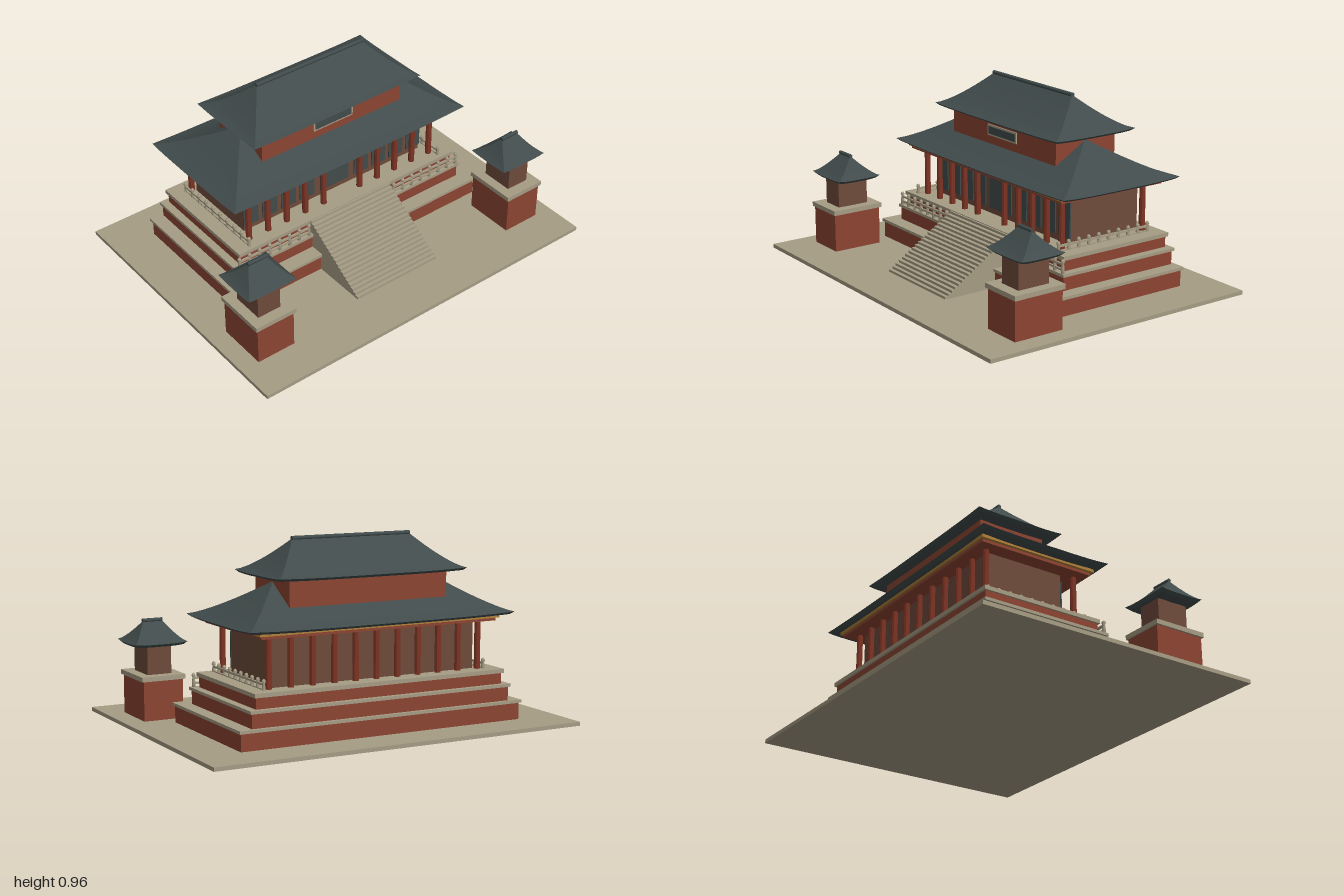
import * as THREE from 'three';
import { mergeGeometries } from 'three/addons/utils/BufferGeometryUtils.js';

const mat = (name, color, extra = {}) => {
  const m = new THREE.MeshStandardMaterial({ color, ...extra });
  m.name = name;
  return m;
};

export function createModel() {
  const stone = mat('stone', 0xa69c84);
  const wallRed = mat('wallRed', 0x8c4432);
  const columnRed = mat('columnRed', 0x7e3424, { flatShading: true });
  const timber = mat('timber', 0x6e4b3b);
  const tile = mat('tile', 0x414b4b);
  const gold = mat('gold', 0xb08038);

  const root = new THREE.Group();
  root.name = 'templeHall';
  const CZ = -0.213; // centre line of the hall

  const add = (parent, name, geo, material) => {
    const m = new THREE.Mesh(geo, material);
    m.name = name;
    parent.add(m);
    return m;
  };
  // box given by its extents on each axis
  const box = (x0, x1, y0, y1, z0, z1) =>
    new THREE.BoxGeometry(x1 - x0, y1 - y0, z1 - z0)
      .translate((x0 + x1) / 2, (y0 + y1) / 2, (z0 + z1) / 2);

  // four-sided skin through rectangular rings, each side with its own normals
  const skin = (rings, nu = 12) => {
    const sides = [];
    for (let s = 0; s < 4; s++) {
      const pos = [], idx = [];
      rings.forEach(({ hx, hz, y, lift = 0 }) => {
        for (let i = 0; i <= nu; i++) {
          const u = -1 + (2 * i) / nu;
          const p = [[u * hx, hz], [hx, -u * hz], [-u * hx, -hz], [-hx, u * hz]][s];
          pos.push(p[0], y + lift * u ** 4, p[1]);
        }
      });
      for (let v = 0; v < rings.length - 1; v++) {
        for (let i = 0; i < nu; i++) {
          const a = v * (nu + 1) + i, b = a + 1, d = a + nu + 1, c = d + 1;
          idx.push(a, b, c, a, c, d);
        }
      }
      const g = new THREE.BufferGeometry();
      g.setAttribute('position', new THREE.Float32BufferAttribute(pos, 3));
      g.setIndex(idx);
      g.computeVertexNormals();
      sides.push(g);
    }
    return mergeGeometries(sides);
  };

  // concave hipped roof with slightly raised corners and a round ridge
  const hipRoof = (name, { hx, hz, rx, y, rise, pow, lift, thick, inset, ridge }) => {
    const g = new THREE.Group();
    g.name = name;
    const top = [];
    const n = 10;
    for (let i = 0; i <= n; i++) {
      const t = i / n;
      top.push({
        hx: THREE.MathUtils.lerp(hx, rx, t), hz: hz * (1 - t),
        y: y + rise * t ** pow, lift: lift * (1 - t) ** 3,
      });
    }
    const under = { hx: hx - inset, hz: hz - inset, y: y - thick, lift: lift * 0.8 };
    add(g, 'roofSlopes', skin(top), tile);
    add(g, 'eaveEdge', skin([under, top[0]]), tile);
    add(g, 'soffit', skin([{ hx: rx, hz: 0, y: y - thick }, under]), tile);
    const bar = new THREE.CylinderGeometry(ridge, ridge, rx * 2 + 0.01, 10);
    add(g, 'ridge', bar.rotateZ(Math.PI / 2).translate(0, y + rise, 0), tile);
    return g;
  };

  // ground slab
  add(root, 'ground', box(-1, 1, 0, 0.02, -0.76, 0.76), stone);

  // three terraces, each with a stone coping
  [
    [0.77, 0.02, 0.105, 0.12, -0.556, 0.2],
    [0.71, 0.12, 0.19, 0.205, -0.547, 0.13],
    [0.68, 0.205, 0.26, 0.28, -0.53, 0.105],
  ].forEach(([hx, y0, y1, y2, z0, z1], i) => {
    add(root, `terraceWall${i + 1}`, box(-hx, hx, y0, y1, z0, z1), wallRed);
    const o = 0.01;
    add(root, `terraceCoping${i + 1}`, box(-hx - o, hx + o, y1, y2, z0 - o, z1 + o), stone);
  });

  // front staircase as an extruded step profile
  const steps = 20, zBottom = 0.497, run = 0.0196, riser = 0.0128;
  const profile = new THREE.Shape();
  profile.moveTo(-zBottom, 0.02);
  for (let i = 0; i < steps; i++) {
    profile.lineTo(-zBottom + i * run, 0.02 + (i + 1) * riser);
    profile.lineTo(-zBottom + (i + 1) * run, 0.02 + (i + 1) * riser);
  }
  profile.lineTo(-zBottom + steps * run, 0.02);
  const stairGeo = new THREE.ExtrudeGeometry(profile, { depth: 0.51, bevelEnabled: false });
  add(root, 'staircase', stairGeo.translate(0, 0, -0.255).rotateY(Math.PI / 2), stone);

  // balustrade between two points: turned posts under a handrail
  const post = new THREE.LatheGeometry(
    [[0, 0], [0.009, 0], [0.009, 0.03], [0.006, 0.05], [0.011, 0.058], [0.008, 0.068], [0, 0.073]]
      .map(([r, y]) => new THREE.Vector2(r, y)), 8);
  const balustrade = (name, a, b, count) => {
    const g = new THREE.Group();
    g.name = name;
    for (let i = 0; i < count; i++) {
      add(g, 'post', post, stone).position.lerpVectors(a, b, i / (count - 1));
    }
    const mid = a.clone().add(b).multiplyScalar(0.5);
    const len = a.distanceTo(b);
    const alongX = Math.abs(a.x - b.x) > 0.01;
    for (const h of [0.02, 0.046]) {
      const rail = new THREE.BoxGeometry(alongX ? len : 0.01, 0.01, alongX ? 0.01 : len);
      add(g, 'rail', rail, stone).position.set(mid.x, mid.y + h, mid.z);
    }
    root.add(g);
  };
  const V = (x, y, z) => new THREE.Vector3(x, y, z);
  for (const s of [-1, 1]) {
    balustrade('frontBalustrade', V(s * 0.7, 0.203, 0.128), V(s * 0.275, 0.203, 0.128), 8);
    balustrade('sideBalustrade', V(s * 0.61, 0.26, 0.085), V(s * 0.61, 0.26, -0.47), 10);
  }

  // hall body with dark lattice panels on the front
  add(root, 'hallBody', box(-0.565, 0.565, 0.28, 0.53, -0.44, -0.022), timber);
  const pitch = 0.116;
  for (const s of [-1, 1]) {
    for (let i = 1; i < 5; i++) {
      const x = s * (i + 0.5) * pitch;
      add(root, 'frontPanel', box(x - 0.045, x + 0.045, 0.31, 0.492, -0.024, -0.016), tile);
    }
  }
  add(root, 'centrePanel', box(-0.09, 0.09, 0.31, 0.492, -0.024, -0.016), tile);

  // colonnade, with the middle bay left open at the front
  const column = new THREE.CylinderGeometry(0.015, 0.016, 0.25, 8);
  for (let i = -5; i <= 5; i++) {
    if (i) add(root, 'frontColumn', column, columnRed).position.set(i * pitch, 0.405, 0.043);
    add(root, 'backColumn', column, columnRed).position.set(i * pitch, 0.405, -0.461);
  }

  // beams below the eaves
  const beam = (name, hx, y0, y1, hz, m) =>
    add(root, name, box(-hx, hx, y0, y1, CZ - hz, CZ + hz), m);
  beam('eaveBeam', 0.645, 0.525, 0.54, 0.31, wallRed);
  beam('giltBeam', 0.66, 0.54, 0.556, 0.322, gold);

  // lower roof, upper storey and upper roof
  const lower = hipRoof('lowerRoof', {
    hx: 0.725, hz: 0.36, rx: 0.43, y: 0.562, rise: 0.19, pow: 1.2,
    lift: 0.008, thick: 0.012, inset: 0.018, ridge: 0.01,
  });
  lower.position.z = CZ;
  root.add(lower);
  beam('upperStorey', 0.435, 0.62, 0.775, 0.183, wallRed);
  const upper = hipRoof('upperRoof', {
    hx: 0.517, hz: 0.244, rx: 0.325, y: 0.783, rise: 0.169, pow: 1.3,
    lift: 0.006, thick: 0.012, inset: 0.015, ridge: 0.011,
  });
  upper.position.z = CZ;
  root.add(upper);

  // blank name board with a pale frame
  const zb = CZ + 0.183;
  add(root, 'boardFrame', box(-0.122, 0.122, 0.688, 0.745, zb - 0.001, zb + 0.007), stone);
  add(root, 'boardPanel', box(-0.112, 0.112, 0.697, 0.736, zb, zb + 0.009), tile);

  // pair of gate towers in front
  for (const s of [-1, 1]) {
    const t = new THREE.Group();
    t.name = s > 0 ? 'leftTower' : 'rightTower';
    t.position.set(s * 0.795, 0, 0.419);
    add(t, 'towerBase', box(-0.105, 0.105, 0.02, 0.22, -0.135, 0.135), wallRed);
    add(t, 'towerCoping', box(-0.116, 0.116, 0.22, 0.244, -0.143, 0.143), stone);
    add(t, 'towerBody', box(-0.064, 0.064, 0.244, 0.4, -0.086, 0.086), timber);
    t.add(hipRoof('towerRoof', {
      hx: 0.138, hz: 0.123, rx: 0.048, y: 0.4, rise: 0.108, pow: 1.25,
      lift: 0.006, thick: 0.014, inset: 0.015, ridge: 0.01,
    }));
    root.add(t);
  }
  return root;
}
